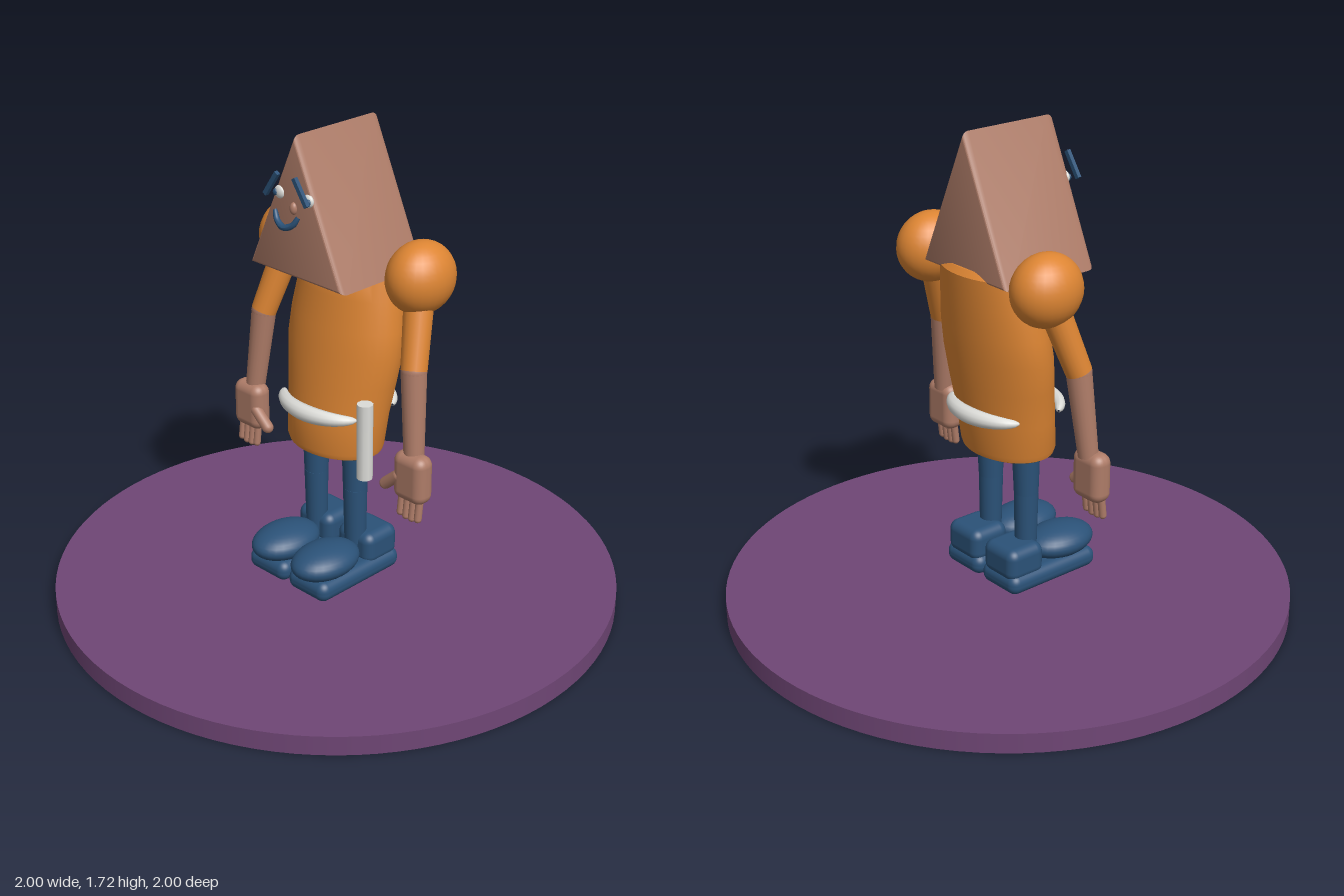
import * as THREE from 'three';
import { toCreasedNormals, mergeVertices } from 'three/addons/utils/BufferGeometryUtils.js';
import { RoundedBoxGeometry } from 'three/addons/geometries/RoundedBoxGeometry.js';

const makeMaterial = (name, color) => {
  const m = new THREE.MeshStandardMaterial({ color });
  m.name = name;
  return m;
};
const V = (x, y, z) => new THREE.Vector3(x, y, z);

export function createModel() {
  const orange = makeMaterial('orange', 0xdd8533);
  const skin = makeMaterial('skin', 0xae7c68);
  const blue = makeMaterial('blue', 0x2b5278);
  const white = makeMaterial('white', 0xdcdcd8);
  const purple = makeMaterial('purple', 0x6f4675);

  const model = new THREE.Group();
  model.name = 'figure';

  const add = (name, geometry, material, x = 0, y = 0, z = 0, parent = model) => {
    const mesh = new THREE.Mesh(geometry, material);
    mesh.name = name;
    mesh.position.set(x, y, z);
    parent.add(mesh);
    return mesh;
  };
  const ellipsoid = (rx, ry, rz) => new THREE.SphereGeometry(1, 28, 18).scale(rx, ry, rz);
  // tapered round bar between two points
  const limb = (name, a, b, ra, rb, material, parent) => {
    const dir = b.clone().sub(a);
    const mid = a.clone().add(b).multiplyScalar(0.5);
    const mesh = add(name, new THREE.CylinderGeometry(rb, ra, dir.length(), 20), material, mid.x, mid.y, mid.z, parent);
    mesh.quaternion.setFromUnitVectors(V(0, 1, 0), dir.normalize());
    return mesh;
  };
  // tube that thins toward both ends
  const taperedTube = (curve, radius, endScale) => {
    const segs = 28, radial = 12;
    const g = new THREE.TubeGeometry(curve, segs, radius, radial);
    const p = g.attributes.position, v = V(0, 0, 0);
    for (let i = 0; i < p.count; i++) {
      const t = Math.floor(i / (radial + 1)) / segs;
      const k = endScale + (1 - endScale) * Math.sqrt(Math.max(0, Math.sin(Math.PI * t)));
      const c = curve.getPointAt(t);
      v.fromBufferAttribute(p, i).sub(c).multiplyScalar(k).add(c);
      p.setXYZ(i, v.x, v.y, v.z);
    }
    g.computeVertexNormals();
    return g;
  };

  // round stand
  add('base', new THREE.CylinderGeometry(1, 1, 0.07, 96), purple, 0, 0.035, 0);

  // torso: oval rings leaning back, each [y, half width, half depth, centre z]
  const rings = [
    [0.58, 0.0001, 0.0001, 0], [0.58, 0.172, 0.128, 0], [0.586, 0.182, 0.139, 0], [0.605, 0.188, 0.145, 0],
    [0.72, 0.2, 0.145, -0.012], [0.84, 0.218, 0.146, -0.03], [0.95, 0.235, 0.145, -0.044],
    [1.04, 0.232, 0.142, -0.057], [1.15, 0.216, 0.135, -0.072], [1.25, 0.2, 0.13, -0.085],
    [1.27, 0.17, 0.11, -0.087], [1.275, 0.0001, 0.0001, -0.087],
  ];
  let torso = new THREE.LatheGeometry(rings.map(([y]) => new THREE.Vector2(1, y)), 40);
  const tp = torso.attributes.position;
  for (let i = 0; i < tp.count; i++) {
    const [y, rx, rz, cz] = rings[i % rings.length];
    tp.setXYZ(i, tp.getX(i) * rx, y, tp.getZ(i) * rz + cz);
  }
  torso.deleteAttribute('normal');
  torso.deleteAttribute('uv');
  torso = toCreasedNormals(mergeVertices(torso), 0.7);
  add('torso', torso, orange);

  // belt crescents, front and back
  for (const [name, s, cz] of [['beltFront', 1, -0.01], ['beltBack', -1, -0.01]]) {
    const pts = [];
    for (let i = 0; i <= 8; i++) {
      const a = -1.03 + (2.06 * i) / 8;
      pts.push(V(0.205 * Math.sin(a), 0, cz + s * 0.168 * Math.cos(a)));
    }
    const g = taperedTube(new THREE.CatmullRomCurve3(pts), 0.029, 0.12);
    add(name, g, white, 0, 0.745, 0);
  }

  // white stick hanging by the left hip
  add('stick', new THREE.CylinderGeometry(0.028, 0.028, 0.275, 10), white, 0.24, 0.702, 0.105);

  // wedge-shaped head
  const tri = new THREE.Shape();
  tri.moveTo(-0.199, 1.25);
  tri.lineTo(0.199, 1.25);
  tri.lineTo(0, 1.698);
  tri.closePath();
  const headGeo = new THREE.ExtrudeGeometry(tri, {
    depth: 0.33, bevelThickness: 0.025, bevelSize: 0.016, bevelSegments: 4,
  });
  add('head', toCreasedNormals(headGeo, 0.6), skin, 0, 0, -0.165);

  // face
  add('nose', ellipsoid(0.014, 0.021, 0.014), skin, 0, 1.48, 0.19);
  const smile = new THREE.CatmullRomCurve3([
    V(-0.054, 1.472, 0.222), V(-0.035, 1.442, 0.23), V(0, 1.428, 0.237), V(0.035, 1.442, 0.23), V(0.054, 1.472, 0.222),
  ]);
  add('mouth', taperedTube(smile, 0.011, 0.6), blue);

  for (const [side, s] of [['left', 1], ['right', -1]]) {
    add(side + 'Eye', ellipsoid(0.022, 0.022, 0.012), white, s * 0.066, 1.52, 0.189);
    add(side + 'Pupil', ellipsoid(0.009, 0.011, 0.006), blue, s * 0.076, 1.52, 0.2);
    const brow = add(side + 'Brow', new THREE.BoxGeometry(0.016, 0.1, 0.014), blue, s * 0.067, 1.557, 0.224);
    brow.rotation.z = s * 0.6;

    // arm
    const arm = new THREE.Group();
    arm.name = side + 'Arm';
    model.add(arm);
    const shoulder = V(s * 0.298, 1.25, -0.09), elbow = V(s * 0.358, 0.965, 0), wrist = V(s * 0.386, 0.67, 0.022);
    add('shoulder', ellipsoid(0.106, 0.124, 0.13), orange, ...shoulder.toArray(), arm);
    limb('upperArm', shoulder, elbow, 0.053, 0.045, orange, arm);
    add('elbow', ellipsoid(0.044, 0.044, 0.044), skin, ...elbow.toArray(), arm);
    limb('forearm', elbow, wrist, 0.044, 0.035, skin, arm);

    // hand
    const hand = new THREE.Group();
    hand.name = side + 'Hand';
    hand.position.set(s * 0.393, 0.6, 0.033);
    arm.add(hand);
    add('palm', new RoundedBoxGeometry(0.134, 0.175, 0.08, 4, 0.035), skin, 0, 0, 0, hand);
    for (let i = 0; i < 4; i++) {
      const len = i === 0 || i === 3 ? 0.065 : 0.075;
      const finger = add('finger', new THREE.CapsuleGeometry(0.0135, len, 5, 12), skin,
        s * (-0.038 + i * 0.026), -0.108, 0.012, hand);
      finger.rotation.x = -0.12;
    }
    const thumb = add('thumb', new THREE.CapsuleGeometry(0.021, 0.075, 6, 12), skin, s * -0.075, -0.03, 0.022, hand);
    thumb.rotation.z = s * -0.85;

    // leg
    const leg = new THREE.Group();
    leg.name = side + 'Leg';
    model.add(leg);
    const hx = s * 0.096;
    limb('thigh', V(hx, 0.62, 0), V(hx, 0.435, 0.002), 0.05, 0.043, blue, leg);
    limb('shin', V(hx, 0.435, 0.002), V(hx, 0.2, 0), 0.043, 0.038, blue, leg);

    // shoe
    const shoe = new THREE.Group();
    shoe.name = side + 'Shoe';
    shoe.position.x = s * 0.099;
    model.add(shoe);
    add('sole', new RoundedBoxGeometry(0.186, 0.075, 0.39, 5, 0.034), blue, 0, 0.136, 0.06, shoe);
    add('heel', new RoundedBoxGeometry(0.165, 0.12, 0.155, 5, 0.035), blue, 0, 0.206, -0.057, shoe);
    add('toe', ellipsoid(0.099, 0.058, 0.138), blue, 0, 0.206, 0.152, shoe);
  }

  return model;
}
